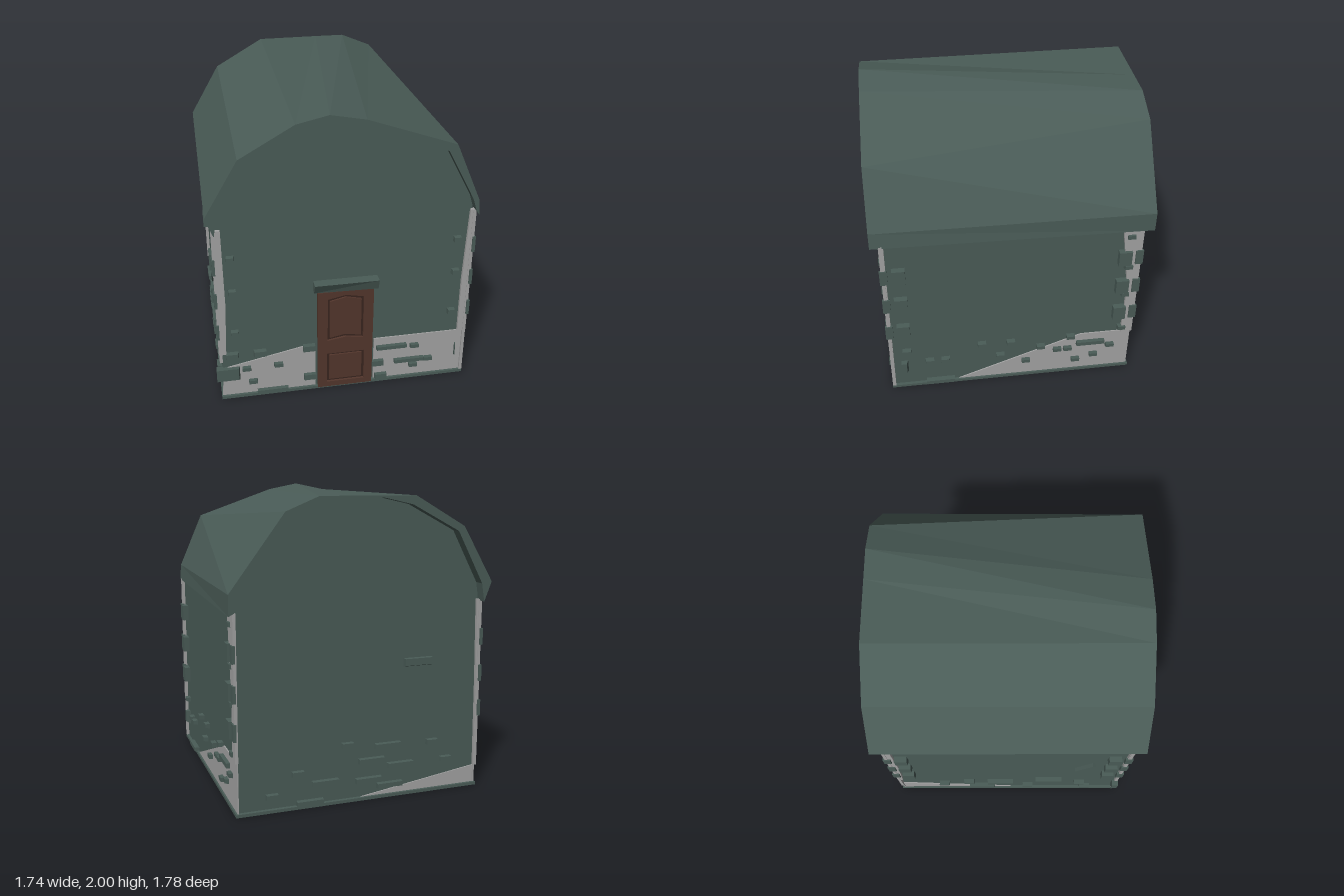
import * as THREE from 'three';

const mat = (name, color, side = THREE.FrontSide) => {
  const m = new THREE.MeshStandardMaterial({ color, flatShading: true, side });
  m.name = name;
  return m;
};

export function createModel() {
  const green = mat('weathered green', 0x4a5c57, THREE.DoubleSide);
  const grey = mat('bare plaster', 0xa3a3a3);
  const brown = mat('door wood', 0x53362c);
  const darkBrown = mat('door groove', 0x38241e);
  const model = new THREE.Group();
  model.name = 'hut';

  const add = (parent, name, geo, material, x = 0, y = 0, z = 0) => {
    const m = new THREE.Mesh(geo, material);
    m.name = name;
    m.position.set(x, y, z);
    parent.add(m);
    return m;
  };
  const plate = (pts, depth, holes = []) => {
    const s = new THREE.Shape(pts.map(p => new THREE.Vector2(...p)));
    holes.forEach(h => s.holes.push(new THREE.Path(h.map(p => new THREE.Vector2(...p)))));
    return new THREE.ExtrudeGeometry(s, { depth, bevelEnabled: false });
  };
  const rect = (x0, y0, x1, y1) => [[x0, y0], [x1, y0], [x1, y1], [x0, y1]];

  // Walls and floor slab
  const W = 0.815;
  add(model, 'walls', new THREE.BoxGeometry(2 * W, 1.3, 2 * W), green, 0, 0.65, 0);
  add(model, 'floorSlab', new THREE.BoxGeometry(1.67, 0.02, 1.68), green, 0, 0.01, 0);

  // Gable prism, whose outline is also the underside of the roof
  const under = [[0.815, 1.3], [0.79, 1.38], [0.61, 1.72], [0.08, 1.935], [-0.1, 1.945],
    [-0.3, 1.9], [-0.62, 1.73], [-0.8, 1.39], [-0.815, 1.3]];
  add(model, 'gables', plate(under, 2 * W), green, 0, 0, -W);

  // Sagging roof: a closed section lofted from the front rim to the back rim
  const leftSlope = [[-0.82, 1.27], [-0.87, 1.4], [-0.66, 1.76], [-0.32, 1.955]];
  const front = [...leftSlope, [-0.12, 2], [0.1, 1.957], [0.66, 1.76], [0.825, 1.38], [0.835, 1.27]];
  const back = [...leftSlope, [0.1, 1.957], [0.31, 1.957], [0.52, 1.87], [0.87, 1.4], [0.87, 1.27]];
  const F = [...front, ...under].map(p => [...p, 0.89]);
  const B = [...back, ...under].map(p => [...p, -0.89]);
  const pos = [], n = F.length;
  const quad = (a, b, c, d) => pos.push(...a, ...b, ...c, ...a, ...c, ...d);
  for (let i = 0; i < n; i++) {
    const j = (i + 1) % n;
    quad(F[i], F[j], B[j], B[i]);
  }
  for (let i = 0; i < 8; i++) {
    const a = n - 1 - i, b = a - 1;
    quad(F[a], F[b], F[i + 1], F[i]);
    quad(B[i], B[i + 1], B[b], B[a]);
  }
  const roof = new THREE.BufferGeometry();
  roof.setAttribute('position', new THREE.Float32BufferAttribute(pos, 3));
  roof.computeVertexNormals();
  add(model, 'roof', roof, green);

  // One group per wall: u runs to the right as seen from outside, z points outwards
  const makeSide = (name, turn) => {
    const g = new THREE.Group();
    g.name = name;
    g.rotation.y = turn;
    model.add(g);
    return g;
  };
  const frontSide = makeSide('frontSide', 0);
  const leftSide = makeSide('leftSide', Math.PI / 2);
  const backSide = makeSide('backSide', Math.PI);
  const rightSide = makeSide('rightSide', -Math.PI / 2);

  // Bare plaster along the wall feet
  const patch = (g, pts) => add(g, 'plasterPatch', plate(pts, 0.008), grey, 0, 0, W);
  patch(frontSide, [[-0.83, 0.02], [-0.2, 0.02], [-0.2, 0.31], [-0.28, 0.35], [-0.81, 0.24]]);
  patch(frontSide, rect(0.2, 0.02, 0.835, 0.35));
  patch(leftSide, [[-0.37, 0.02], [0.83, 0.02], [0.83, 0.35], [0.48, 0.35]]);
  patch(backSide, [[0, 0.02], [0.83, 0.02], [0.83, 0.14]]);
  patch(rightSide, [[-0.83, 0.02], [0.02, 0.02], [-0.83, 0.17]]);

  // Ragged plaster strips at the corners, s choosing the wall end
  const strip = (g, s, y0, low, mid, high) => {
    const pts = [[low, y0], [0.838, y0], [0.838, 1.28], [high, 1.28], [mid, 0.75]];
    const ends = pts.map(([u, y]) => [s * u, y]);
    add(g, 'cornerPlaster', plate(s > 0 ? ends : ends.reverse(), 0.02), grey, 0, 0, W);
  };
  strip(frontSide, -1, 0.36, 0.79, 0.775, 0.78);
  strip(frontSide, 1, 0.35, 0.78, 0.78, 0.8);
  strip(leftSide, 1, 0.35, 0.76, 0.77, 0.7);
  strip(leftSide, -1, 0.02, 0.815, 0.81, 0.805);
  strip(backSide, 1, 0.14, 0.815, 0.81, 0.8);
  strip(rightSide, -1, 0.35, 0.8, 0.78, 0.78);
  strip(rightSide, 1, 0.3, 0.815, 0.81, 0.81);

  // Loose bricks: boxes whose outer face is narrowed and pushed up
  const bricks = (g, w, h, places) => places.forEach(([u, y], k) => {
    const geo = new THREE.BoxGeometry(w, h, 0.045);
    const p = geo.attributes.position;
    const cut = h * 0.25;
    for (let i = 0; i < p.count; i++) {
      if (p.getZ(i) < 0) continue;
      if ((p.getX(i) > 0) === (k % 2 === 0)) p.setX(i, p.getX(i) * (1 - cut / w));
      if (p.getY(i) < 0) p.setY(i, p.getY(i) + cut);
    }
    add(g, 'brick', geo, green, u, y, W + 0.012);
  });
  bricks(frontSide, 0.085, 0.055, [[-0.75, 0.335], [-0.57, 0.335], [-0.24, 0.335], [-0.24, 0.1],
    [0.23, 0.15], [0.25, 0.035]]);
  bricks(frontSide, 0.06, 0.035, [[-0.66, 0.225], [-0.45, 0.23], [-0.62, 0.115], [0.48, 0.265],
    [0.48, 0.105], [0.58, 0.145]]);
  bricks(frontSide, 0.21, 0.035, [[-0.49, 0.025], [0.32, 0.275], [0.45, 0.15]]);
  bricks(frontSide, 0.16, 0.12, [[-0.78, 0.185]]);
  bricks(frontSide, 0.01, 0.11, [[0.775, 0.19]]);
  bricks(leftSide, 0.06, 0.035, [[-0.72, 0.34], [-0.57, 0.23], [-0.46, 0.23], [-0.21, 0.345],
    [-0.08, 0.22], [-0.01, 0.34], [0.1, 0.15], [0.2, 0.27], [0.32, 0.23], [0.39, 0.23],
    [0.41, 0.34], [0.45, 0.115], [0.58, 0.15], [0.69, 0.23]]);
  bricks(leftSide, 0.2, 0.04, [[-0.5, 0.025], [0.55, 0.27]]);
  bricks(leftSide, 0.05, 0.11, [[-0.74, 0.185]]);
  bricks(leftSide, 0.055, 0.038, [[0.76, 1.2], [0.76, 0.945], [0.76, 0.705], [0.76, 0.39]]);
  bricks(backSide, 0.18, 0.04, [[0.07, 0.26], [0.27, 0.21], [0.05, 0.13], [0.18, 0.35],
    [0.2, 0.08], [-0.25, 0.15], [-0.35, 0.03]]);
  bricks(backSide, 0.08, 0.04, [[-0.43, 0.23], [0.6, 0.21], [-0.6, 0.1], [-0.1, 0.38], [0.5, 0.34]]);
  bricks(backSide, 0.2, 0.06, [[0.39, 0.89]]);
  bricks(rightSide, 0.2, 0.045, [[0.31, 0.34], [-0.06, 0.25], [-0.2, 0.12]]);
  bricks(rightSide, 0.08, 0.04, [[-0.49, 0.2], [-0.3, 0.27], [0.55, 0.24], [0.15, 0.14], [0.6, 0.1]]);

  // Corner stones on the long walls, their edges on the short walls, and small front stones
  for (const s of [-1, 1]) {
    for (const y of [0.545, 0.785, 1.03]) {
      for (const g of [leftSide, rightSide]) {
        add(g, 'cornerStone', new THREE.BoxGeometry(0.085, 0.11, 0.05), green, s * 0.73, y, W + 0.015);
      }
      for (const g of [frontSide, backSide]) {
        add(g, 'edgeStone', new THREE.BoxGeometry(0.02, 0.11, 0.05), green, s * 0.835, y, W + 0.008);
      }
    }
    bricks(frontSide, 0.05, 0.043, [[s * 0.73, 1.07], [s * 0.73, 0.825], [s * 0.725, 0.515]]);
  }

  // Slanted sliver high on the right wall
  const sliver = add(rightSide, 'sliver', new THREE.BoxGeometry(0.025, 0.2, 0.035), green, 0.55, 0.78, W + 0.01);
  sliver.rotation.z = -0.6;

  // Door with recessed panels
  const door = new THREE.Group();
  door.name = 'door';
  door.position.z = W;
  model.add(door);
  const peaked = (w, y0, y1) => [[-w, y0], [0, y0 + 0.02], [w, y0], [w, y1], [0, y1 + 0.025], [-w, y1]];
  const lower = rect(-0.125, 0.05, 0.13, 0.285);
  add(door, 'doorFrame', plate(rect(-0.185, 0.01, 0.185, 0.77), 0.03, [peaked(0.12, 0.39, 0.715), lower]), brown);
  add(door, 'doorGroove', plate(rect(-0.14, 0.03, 0.14, 0.75), 0.015), darkBrown);
  add(door, 'upperPanel', plate(peaked(0.105, 0.41, 0.695), 0.026), brown);
  add(door, 'lowerPanel', plate(rect(-0.108, 0.068, 0.113, 0.267), 0.026), brown);

  // Stone lintel, deepest along its top edge
  const lintel = plate(rect(-0.21, 0.775, 0.21, 0.85), 0.07);
  const lp = lintel.attributes.position;
  for (let i = 0; i < lp.count; i++) {
    if (lp.getZ(i) > 0.01 && lp.getY(i) < 0.8) lp.setZ(i, lp.getX(i) < 0 ? 0.03 : 0.045);
  }
  lintel.computeVertexNormals();
  add(model, 'lintel', lintel, green, 0, 0, W);

  return model;
}
